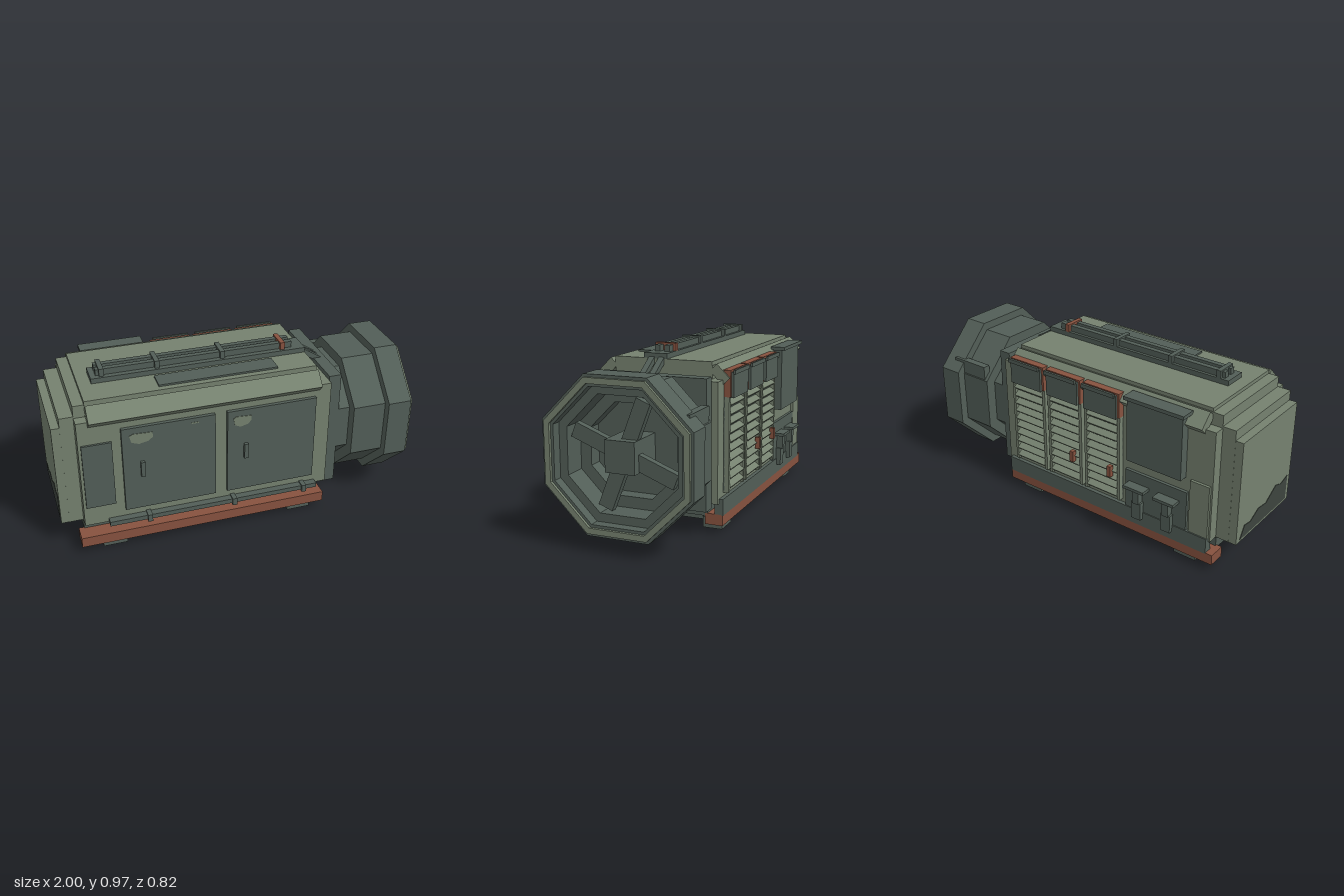
import * as THREE from 'three';

export function createModel() {
  const root = new THREE.Group();
  root.name = 'generatorUnit';
  const paint = (name, color) => Object.assign(new THREE.MeshStandardMaterial({ color }), { name });
  const sage = paint('sage green', 0x75816f);
  const dark = paint('dark green grey', 0x525e57);
  const rust = paint('rust red', 0x87523f);
  const soot = paint('soot', 0x3d443e);

  const add = (name, geo, mat) => {
    const m = new THREE.Mesh(geo, mat);
    m.name = name;
    root.add(m);
    return m;
  };
  // Box given by its limits on each axis
  const box = (name, mat, x0, x1, y0, y1, z0, z1) => {
    const m = add(name, new THREE.BoxGeometry(x1 - x0, y1 - y0, z1 - z0), mat);
    m.position.set((x0 + x1) / 2, (y0 + y1) / 2, (z0 + z1) / 2);
    return m;
  };
  // Faceted octagonal shell along x from [x, flat radius] points
  const axisY = 0.487;
  const octagon = (name, mat, pts) => {
    const k = 1 / Math.cos(Math.PI / 8);
    let g = new THREE.LatheGeometry(pts.map(([x, r]) => new THREE.Vector2(r * k, x)), 8, Math.PI / 8);
    g = g.toNonIndexed();
    g.computeVertexNormals();
    g.rotateZ(-Math.PI / 2);
    g.translate(0, axisY, 0.004);
    return add(name, g, mat);
  };
  // Flat irregular patch in the xy plane
  const patch = (name, mat, pts) =>
    add(name, new THREE.ExtrudeGeometry(new THREE.Shape(pts.map(p => new THREE.Vector2(...p))),
      { depth: 0.003, bevelEnabled: false }), mat);

  // Housing with stepped end and roof
  box('body', sage, -0.88, 0.52, 0.165, 0.81, -0.335, 0.34);
  box('roofStep', sage, -0.88, 0.45, 0.81, 0.88, -0.275, 0.28);
  box('roof', sage, -0.82, 0.45, 0.81, 0.9, -0.272, 0.283);
  box('endStep', sage, -0.955, -0.88, 0.165, 0.82, -0.275, 0.28);
  box('endCap', sage, -1, -0.955, 0.165, 0.765, -0.274, 0.279);
  const stain = patch('sootStain', soot, [[-0.24, 0.18], [0.25, 0.18], [0.25, 0.33], [0.18, 0.31],
    [0.12, 0.33], [0.02, 0.27], [-0.06, 0.28], [-0.14, 0.24], [-0.2, 0.25]]);
  stain.rotation.y = -Math.PI / 2;
  stain.position.x = -1 + 0.0005;

  // Tilted eave panels along both roof edges
  for (const s of [1, -1]) {
    const eave = add('eavePanel', new THREE.BoxGeometry(1.27, 0.055, 0.1), sage);
    eave.position.set(-0.185, 0.836, s * 0.321 + 0.006);
    eave.rotation.x = s * Math.PI / 4;
  }

  // Skid base: rails, feet, cross beams
  box('basePan', dark, -0.88, 0.5, 0.09, 0.165, -0.27, 0.28);
  for (const s of [1, -1]) {
    const c = s * 0.313 + 0.007;
    box('skidRail', rust, -0.91, 0.5, 0.045, 0.105, c - 0.049, c + 0.049);
    for (const x of [-0.7225, 0.3625]) {
      const f = s * 0.277 + 0.007;
      box('foot', dark, x - 0.0675, x + 0.0675, 0, 0.058, f - 0.055, f + 0.055);
    }
  }
  for (const x of [-0.7225, 0.3625]) box('crossBeam', dark, x - 0.04, x + 0.04, 0.035, 0.075, -0.26, 0.27);

  // Front doors, handles and worn paint
  box('smallPanel', dark, -0.865, -0.705, 0.285, 0.675, 0.34, 0.352);
  for (const x of [-0.655, -0.08]) {
    box('door', dark, x, x + 0.508, 0.235, 0.745, 0.34, 0.36);
    box('doorHandle', dark, x + 0.092, x + 0.115, 0.445, 0.535, 0.36, 0.378);
    const worn = patch('wornPaint', sage, [[0.04, 0.7], [0.06, 0.71], [0.165, 0.705], [0.165, 0.675],
      [0.14, 0.655], [0.09, 0.645], [0.05, 0.66]]);
    worn.position.set(x, 0, 0.3595);
    if (x > -0.5) worn.scale.x = 0.8;
  }
  box('wornPaint', sage, -0.28, -0.24, 0.713, 0.72, 0.36, 0.362);

  // Lower front conduit with clamps
  box('conduit', dark, -0.75, 0.45, 0.16, 0.187, 0.34, 0.38);
  for (const x of [-0.53, -0.045, 0.37]) box('conduitClamp', dark, x - 0.013, x + 0.013, 0.152, 0.195, 0.335, 0.393);

  // Roof tray, twin pipes, clamps and hatch
  box('roofTray', dark, -0.75, 0.45, 0.9, 0.928, -0.02, 0.113);
  for (const z of [0.012, 0.068]) {
    box('roofPipe', dark, -0.72, 0.38, 0.928, 0.962, z - 0.015, z + 0.015);
    const drop = add('pipeDrop', new THREE.BoxGeometry(0.15, 0.03, 0.032), dark);
    drop.position.set(0.49, 0.865, z);
    drop.rotation.z = -0.56;
  }
  for (const x of [-0.69, -0.39, -0.025, 0.322])
    box('pipeClamp', x > 0.3 ? rust : dark, x - 0.013, x + 0.013, 0.925, 0.97, -0.02, 0.1);
  box('roofHatch', dark, -0.42, 0.24, 0.9, 0.91, 0.14, 0.25);

  // Back louvre bays with covers
  for (const x of [-0.32, -0.06, 0.2]) {
    const x1 = x + 0.24;
    box('louvreBacking', dark, x, x1, 0.22, 0.72, -0.341, -0.334);
    for (const e of [x, x1 - 0.018]) box('louvreStile', sage, e, e + 0.018, 0.21, 0.72, -0.365, -0.335);
    for (let i = 0; i < 10; i++) {
      const slat = box('louvreSlat', sage, x + 0.018, x1 - 0.018, 0, 0.012, -0.372, -0.332);
      slat.position.y = 0.245 + i * 0.049;
      slat.rotation.x = -0.6;
    }
    box('coverFrame', rust, x, x1, 0.72, 0.86, -0.372, -0.33);
    box('coverPlate', dark, x + 0.012, x1 - 0.012, 0.715, 0.85, -0.386, -0.372);
    box('coverLip', dark, x + 0.02, x1 - 0.005, 0.84, 0.862, -0.397, -0.384);
  }
  for (const x of [0, -0.26]) box('latch', rust, x - 0.012, x + 0.012, 0.35, 0.415, -0.386, -0.36);

  // Back control cabinet
  box('controlCabinet', dark, -0.72, -0.38, 0.5, 0.86, -0.386, -0.33);
  box('cabinetHood', dark, -0.735, -0.37, 0.86, 0.88, -0.404, -0.32);

  // Back outlet plate with two valves, kick plate and side panel
  box('outletPlate', dark, -0.74, -0.35, 0.14, 0.42, -0.352, -0.33);
  for (const x of [-0.44, -0.63]) {
    box('valveHandle', dark, x - 0.065, x + 0.065, 0.338, 0.355, -0.41, -0.345);
    box('valveStem', dark, x - 0.02, x + 0.02, 0.25, 0.34, -0.388, -0.35);
    box('valveBody', dark, x - 0.03, x + 0.03, 0.15, 0.255, -0.38, -0.35);
  }
  box('kickPlate', dark, -0.87, 0.5, 0.1, 0.19, -0.357, -0.31);
  box('backPanel', sage, -0.87, -0.755, 0.19, 0.5, -0.35, -0.33);

  // Collar and octagonal fan duct
  box('collar', dark, 0.52, 0.59, 0.14, 0.835, -0.3, 0.31);
  octagon('fanDuct', dark, [[0.58, 0.3], [0.66, 0.3], [0.66, 0.36], [0.85, 0.36], [0.85, 0.405],
    [0.985, 0.405], [0.985, 0.345], [0.93, 0.345], [0.93, 0.3], [0.8, 0.3], [0.8, 0.24], [0.72, 0.24], [0.72, 0]]);
  octagon('fanRim', sage, [[0.98, 0.39], [1, 0.39], [1, 0.36], [0.98, 0.36]]);
  box('ductBox', dark, 0.68, 0.92, 0.64, 0.72, -0.352, -0.31);

  // Fan hub and four blades
  box('fanHub', dark, 0.72, 0.95, 0.405, 0.57, -0.077, 0.085);
  for (let i = 0; i < 4; i++) {
    const g = new THREE.BoxGeometry(0.04, 0.25, 0.08);
    g.translate(0, 0.172, 0);
    const blade = add('fanBlade', g, dark);
    blade.position.set(0.885, axisY, 0.004);
    blade.rotation.x = -0.37 + i * Math.PI / 2;
  }
  return root;
}
